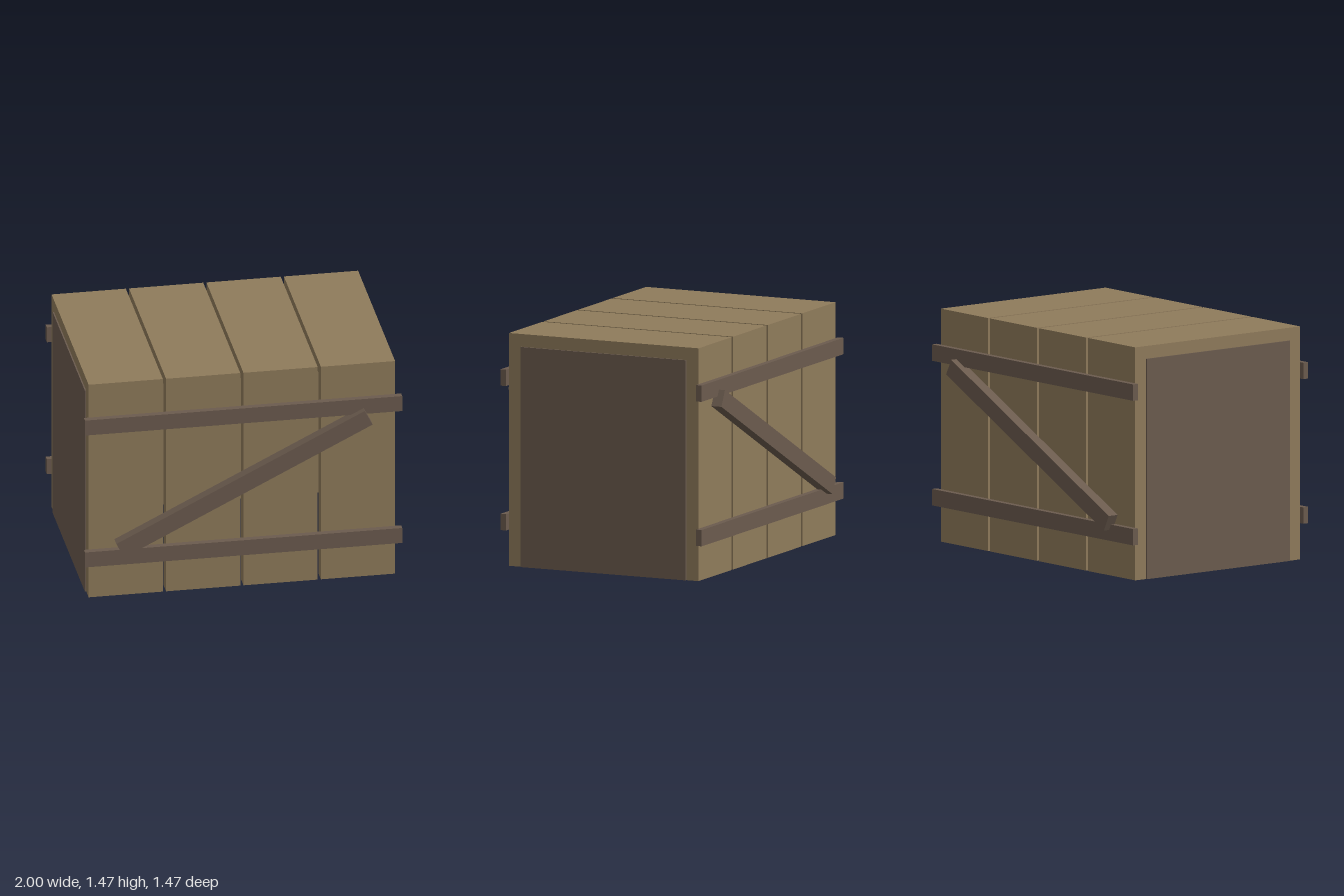
import * as THREE from 'three';

export function createModel() {
  const crate = new THREE.Group();
  crate.name = 'crate';
  const plankWood = new THREE.MeshStandardMaterial({ color: 0x8f7b5b });
  plankWood.name = 'light wood';
  const braceWood = new THREE.MeshStandardMaterial({ color: 0x6b5b4e });
  braceWood.name = 'dark wood';

  const box = (name, size, pos, angle = 0) => {
    const mesh = new THREE.Mesh(new THREE.BoxGeometry(...size), braceWood);
    mesh.name = name;
    mesh.position.set(...pos);
    mesh.rotation.z = angle;
    crate.add(mesh);
  };

  // Arch-shaped planks: front wall, top and back wall in one piece, open below
  const outerZ = 0.655, innerZ = 0.57, outerY = 1.465, innerY = 1.385;
  const section = new THREE.Shape([
    [-outerZ, 0], [-innerZ, 0], [-innerZ, innerY], [innerZ, innerY],
    [innerZ, 0], [outerZ, 0], [outerZ, outerY], [-outerZ, outerY],
  ].map(([z, y]) => new THREE.Vector2(z, y)));
  const width = 0.468, pitch = 0.488, firstX = -0.97;
  const plankGeometry = new THREE.ExtrudeGeometry(section, { depth: width, bevelEnabled: false });
  plankGeometry.rotateY(Math.PI / 2);
  for (let i = 0; i < 4; i++) {
    const plank = new THREE.Mesh(plankGeometry, plankWood);
    plank.name = `plank${i + 1}`;
    plank.position.x = firstX + i * pitch;
    crate.add(plank);
  }

  // End panels, standing slightly proud of the planks
  for (const [name, x] of [['leftPanel', 0.936], ['rightPanel', -0.941]]) {
    box(name, [0.075, innerY, innerZ * 2], [x, innerY / 2, 0]);
  }

  // Two rails and one diagonal brace on the front and the back
  for (const [side, s] of [['front', 1], ['back', -1]]) {
    box(`${side}LowerRail`, [2, 0.103, 0.039], [0, 0.279, s * 0.676]);
    box(`${side}UpperRail`, [2, 0.103, 0.039], [0, 1.188, s * 0.676]);
    box(`${side}DiagonalBrace`, [1.752, 0.11, 0.07], [-0.002, 0.736, s * 0.702],
      THREE.MathUtils.degToRad(26.6));
  }
  return crate;
}
